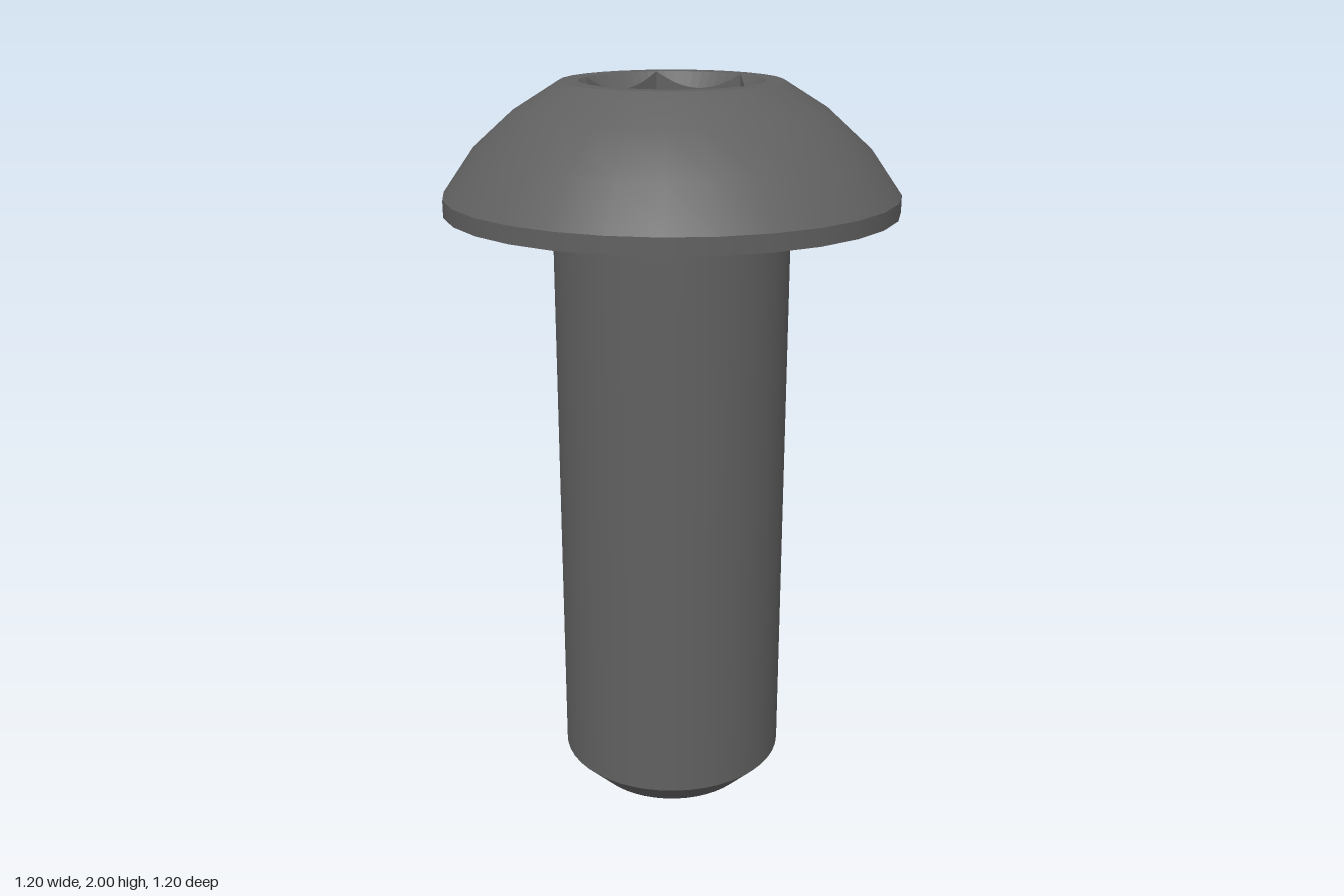
import * as THREE from 'three';

const HEAD_SIDES = 29, SHANK_SIDES = 48, HEX_STEPS = 10;
const SOCKET_R = 0.24, RIM_R = 0.29, TOP = 2, SEAT = 1.67;

export function createModel() {
  const group = new THREE.Group();
  const steel = new THREE.MeshStandardMaterial({ color: 0x606060 });
  steel.name = 'dark steel';

  const add = (name, geometry, parent) => {
    const mesh = new THREE.Mesh(geometry, steel);
    mesh.name = name;
    parent.add(mesh);
  };
  const part = (name) => {
    const g = new THREE.Group();
    g.name = name;
    group.add(g);
    return g;
  };
  // Each turned surface is its own lathe, so the edges between them stay sharp
  const turn = (name, profile, sides, parent) => add(name,
    new THREE.LatheGeometry(profile.map(([r, y]) => new THREE.Vector2(r, y)), sides), parent);

  // Shank with chamfered tip and a small fillet under the head
  const shank = part('shank');
  turn('tipFace', [[0, 0], [0.235, 0]], SHANK_SIDES, shank);
  turn('tipChamfer', [[0.235, 0], [0.315, 0.08]], SHANK_SIDES, shank);
  turn('shankBody', [[0.315, 0.08], [0.315, 1.652]], SHANK_SIDES, shank);
  turn('fillet', [[0.315, 1.652], [0.318, 1.663], [0.326, SEAT]], SHANK_SIDES, shank);

  // Button head
  const head = part('head');
  turn('headUnderside', [[0.31, SEAT], [0.6, SEAT]], HEAD_SIDES, head);
  turn('headBand', [[0.6, SEAT], [0.6, 1.714]], HEAD_SIDES, head);
  turn('headDome', [[0.6, 1.714], [0.518, 1.83], [0.41, 1.926], [RIM_R, TOP]], HEAD_SIDES, head);

  // Flat rim around the socket
  const circle = (r, n) => Array.from({ length: n }, (_, i) => {
    const a = i / n * Math.PI * 2;
    return new THREE.Vector2(r * Math.sin(a), -r * Math.cos(a));
  });
  const rim = new THREE.Shape(circle(RIM_R, HEAD_SIDES));
  rim.holes.push(new THREE.Path(circle(SOCKET_R, 6 * HEX_STEPS)));
  add('headRim', new THREE.ShapeGeometry(rim).rotateX(-Math.PI / 2).translate(0, TOP, 0), head);

  // Hex socket: conical lead-in, six walls with scalloped tops, conical floor
  const rows = { mouth: [], wallTop: [], wallFoot: [], centre: [] };
  const count = 6 * HEX_STEPS;
  for (let i = 0; i <= count; i++) {
    const a = i / count * Math.PI * 2;
    const offset = (i % HEX_STEPS) / HEX_STEPS * Math.PI / 3 - Math.PI / 6;
    const r = SOCKET_R * Math.cos(Math.PI / 6) / Math.cos(offset);
    const at = (radius, y) => [radius * Math.sin(a), y, radius * Math.cos(a)];
    rows.mouth.push(at(SOCKET_R, TOP));
    rows.wallTop.push(at(r, TOP - 1.25 * (SOCKET_R - r)));
    rows.wallFoot.push(at(r, 1.81));
    rows.centre.push([0, 1.71, 0]);
  }
  const strip = (inner, outer) => {
    const positions = [];
    for (let i = 0; i < count; i++) {
      positions.push(...inner[i], ...outer[i], ...outer[i + 1]);
      positions.push(...inner[i], ...outer[i + 1], ...inner[i + 1]);
    }
    const g = new THREE.BufferGeometry();
    g.setAttribute('position', new THREE.Float32BufferAttribute(positions, 3));
    g.computeVertexNormals();
    return g;
  };
  const socket = part('hexSocket');
  add('socketLeadIn', strip(rows.wallTop, rows.mouth), socket);
  add('socketWalls', strip(rows.wallFoot, rows.wallTop), socket);
  add('socketFloor', strip(rows.centre, rows.wallFoot), socket);

  return group;
}
